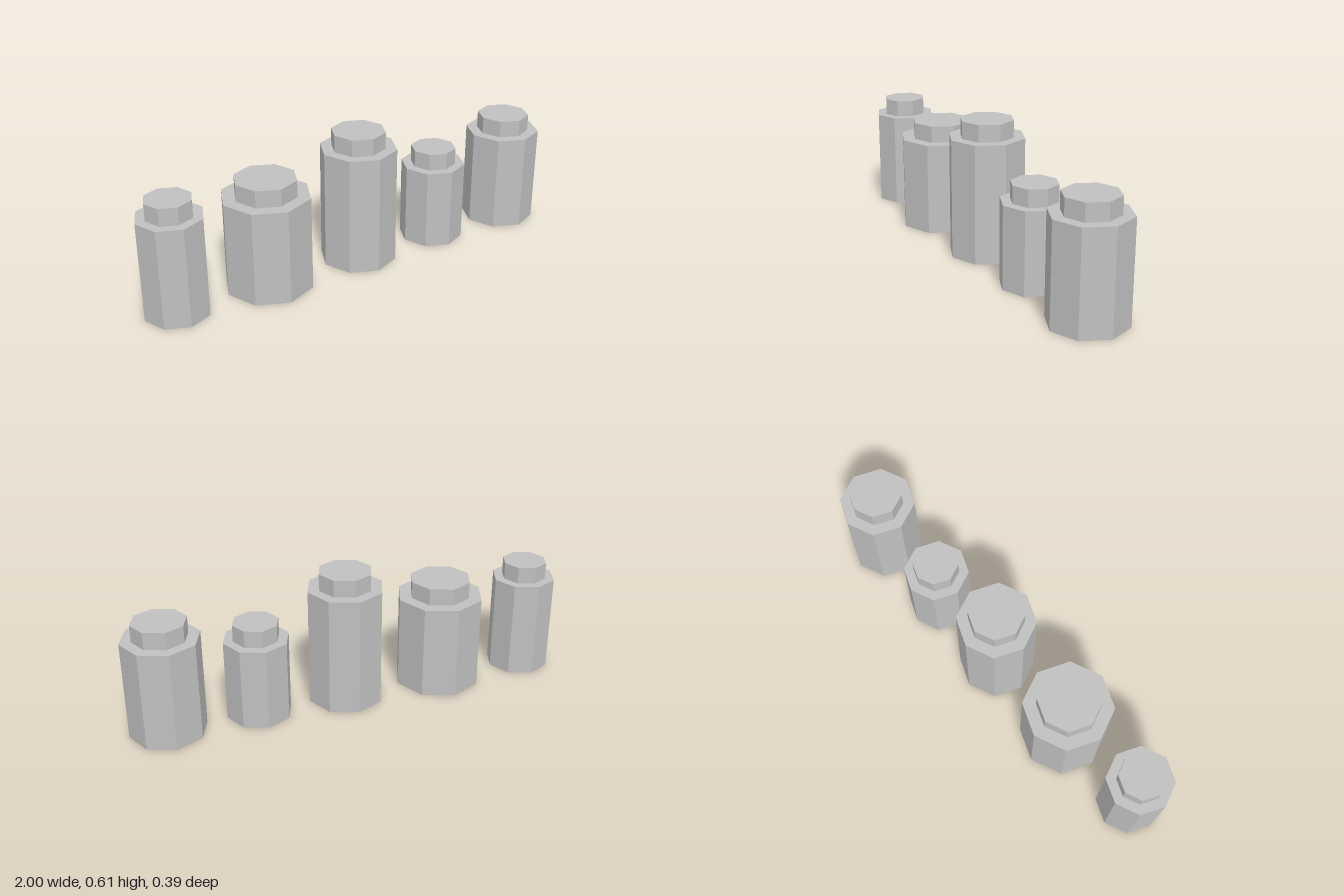
import * as THREE from 'three';

// x centre, body radius, body height of each jar
const JARS = [
  [-0.857, 0.143, 0.442],
  [-0.43, 0.195, 0.423],
  [0.024, 0.171, 0.533],
  [0.429, 0.145, 0.364],
  [0.832, 0.168, 0.442],
];
const LID_HEIGHT = 0.076;
const LID_RATIO = 0.7;

export function createModel() {
  const model = new THREE.Group();
  model.name = 'jarRow';
  const grey = new THREE.MeshStandardMaterial({ color: 0xc0c0c0, flatShading: true });
  grey.name = 'grey';

  // Eight-sided prism standing on height y
  const prism = (name, radius, height, y) => {
    const mesh = new THREE.Mesh(new THREE.CylinderGeometry(radius, radius, height, 8), grey);
    mesh.name = name;
    mesh.position.y = y + height / 2;
    return mesh;
  };

  JARS.forEach(([x, radius, height], i) => {
    const jar = new THREE.Group();
    jar.name = `jar${i + 1}`;
    jar.position.x = x;
    jar.add(
      prism('body', radius, height, 0),
      prism('lid', radius * LID_RATIO, LID_HEIGHT, height),
    );
    model.add(jar);
  });
  return model;
}
